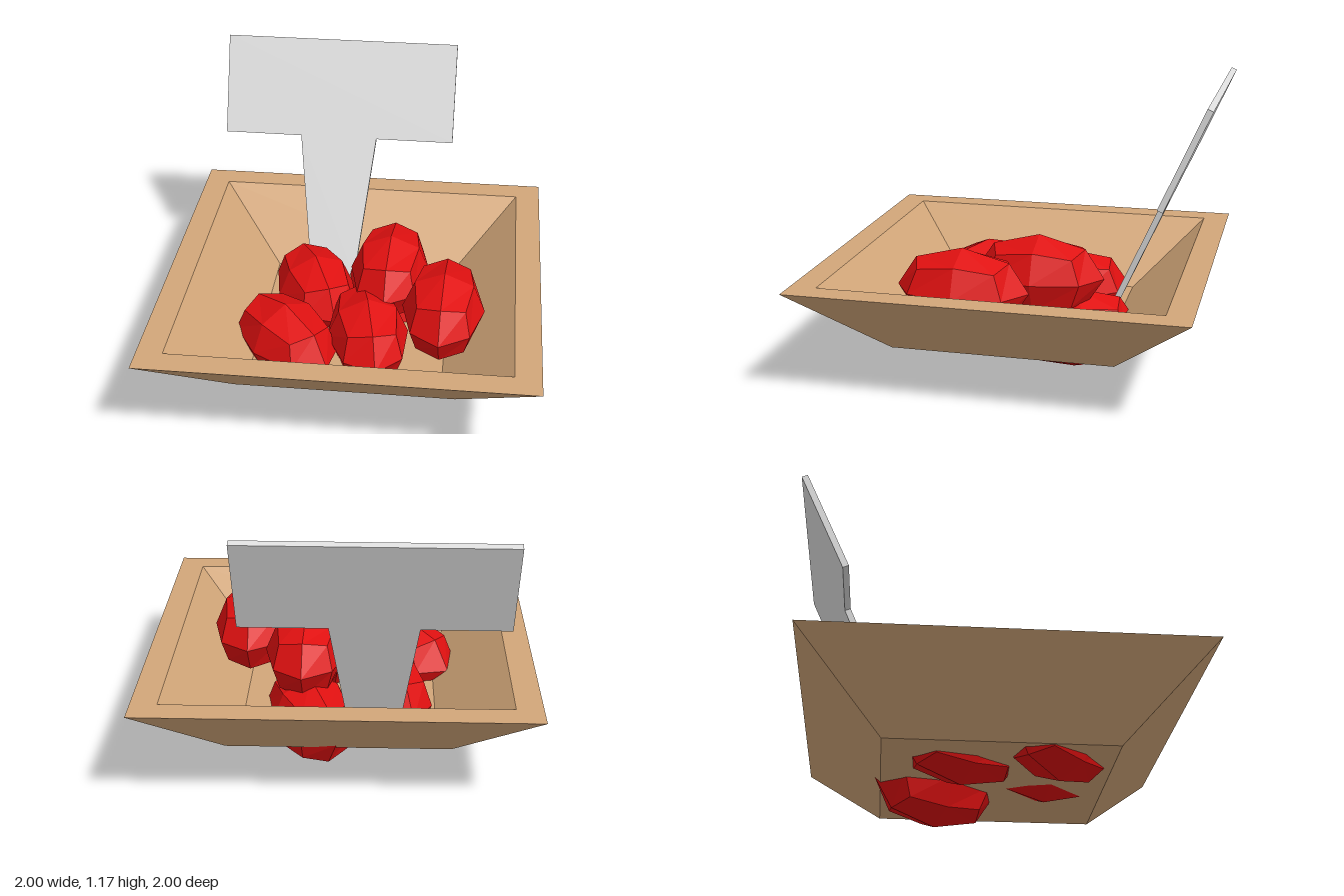
import * as THREE from 'three';

const mat = (name, color) => {
  const m = new THREE.MeshStandardMaterial({ color, flatShading: true });
  m.name = name;
  return m;
};

export function createModel() {
  const wood = mat('lightWood', 0xd2a679);
  const red = mat('tomatoRed', 0xe01010);
  const grey = mat('signGrey', 0xdddddd);
  const model = new THREE.Group();
  const add = (name, geometry, material, parent = model) => {
    const mesh = new THREE.Mesh(geometry, material);
    mesh.name = name;
    parent.add(mesh);
    return mesh;
  };

  // Square flared tray: a closed profile turned in four steps
  const profile = [[0, 0.15], [0.646, 0.15], [1.113, 0.46], [0.963, 0.46], [0.563, 0.195], [0, 0.195]]
    .map(([r, y]) => new THREE.Vector2(r, y));
  add('tray', new THREE.LatheGeometry(profile, 4, Math.atan2(0.49, 1)), wood);

  // Leaning price plate with a tapered stem, one flat outline
  const outline = [
    [-0.517, 0.438], [-0.517, 0], [-0.172, 0], [-0.1, -0.635],
    [0.1, -0.635], [0.172, 0], [0.517, 0], [0.517, 0.438],
  ].map(([x, y]) => new THREE.Vector2(x, y));
  const plate = new THREE.ExtrudeGeometry(new THREE.Shape(outline), { depth: 0.025, bevelEnabled: false });
  plate.translate(0, 0, -0.025);
  const sign = add('sign', plate, grey);
  sign.rotation.set(-0.42, -0.335, 0, 'YXZ');
  sign.position.set(0.06, 0.77, -0.613);

  // Faceted oval fruit: a subdivided box rounded to a sphere, then stretched
  const fruit = new THREE.BoxGeometry(2, 2, 2, 2, 2, 2);
  const p = fruit.attributes.position;
  const v = new THREE.Vector3();
  for (let i = 0; i < p.count; i++) {
    v.fromBufferAttribute(p, i).normalize();
    p.setXYZ(i, v.x * 0.172, v.y * 0.172, v.z * 0.275);
  }
  fruit.computeVertexNormals();

  // Heap of fruit: x, y, z, yaw
  const heap = new THREE.Group();
  heap.name = 'fruitHeap';
  model.add(heap);
  [
    [-0.135, 0.245, -0.195, 0.1],
    [0.19, 0.175, -0.18, 0.1],
    [0.165, 0.405, -0.035, -0.36],
    [-0.33, 0.245, 0.14, 0.46],
    [0, 0.28, 0.23, -0.12],
    [0.31, 0.4, 0.29, -0.36],
  ].forEach(([x, y, z, yaw]) => {
    const f = add('fruit', fruit, red, heap);
    f.position.set(x, y, z);
    f.rotation.y = yaw;
  });

  return model;
}
